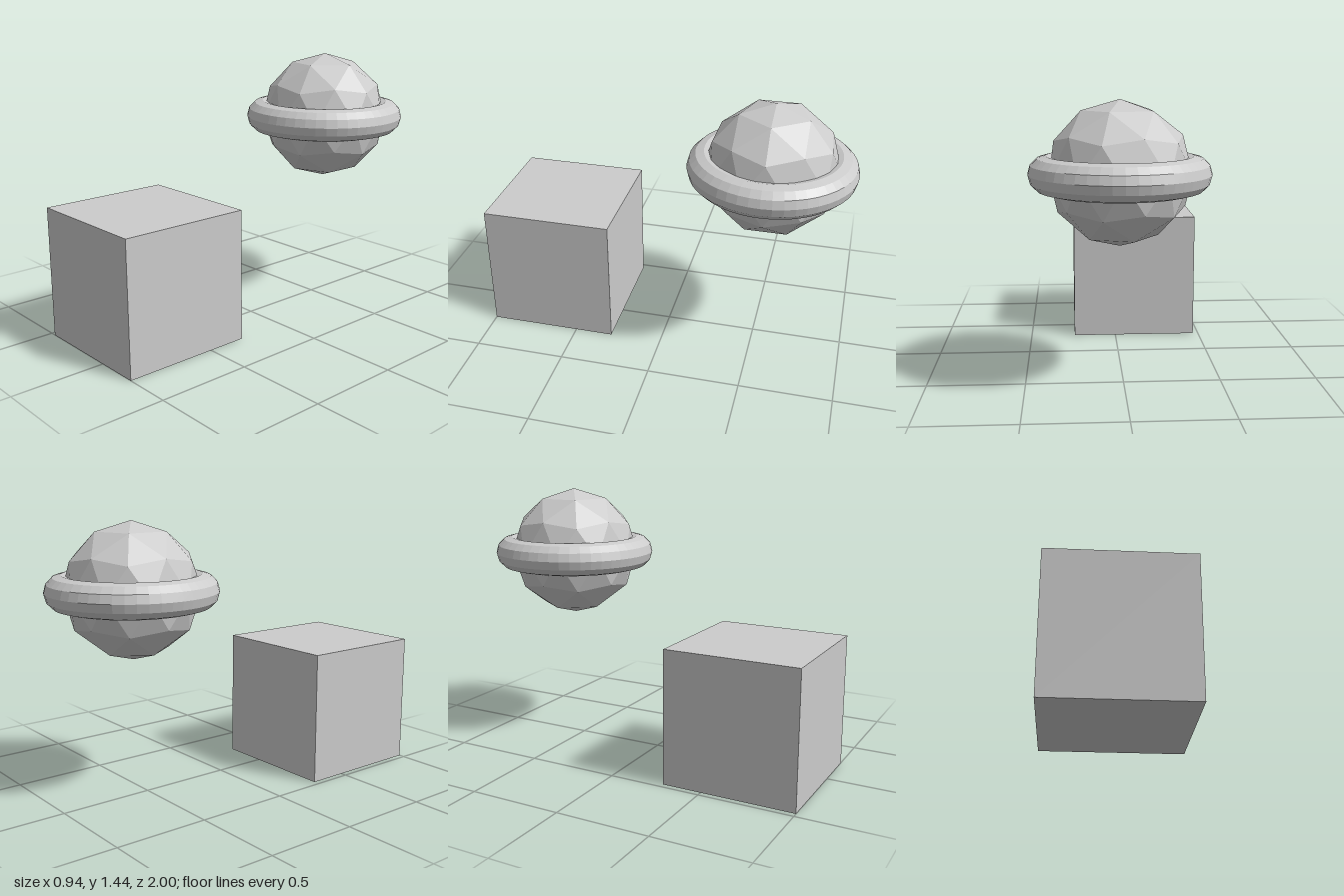
import * as THREE from 'three';

const UNIT = 0.3565; // half the cube's side, also the ball's radius

export function createModel() {
  const model = new THREE.Group();
  const material = new THREE.MeshStandardMaterial({ color: 0xcccccc, flatShading: true });

  const addPart = (name, geometry, parent, x = 0, y = 0, z = 0) => {
    const mesh = new THREE.Mesh(geometry, material);
    mesh.name = name;
    mesh.position.set(x, y, z);
    parent.add(mesh);
  };

  // Cube standing on the ground at the front
  addPart('cube', new THREE.BoxGeometry(2 * UNIT, 2 * UNIT, 2 * UNIT), model, -0.113, UNIT, 1 - UNIT);

  // Floating ringed ball at the back
  const ringedBall = new THREE.Group();
  ringedBall.name = 'ringedBall';
  ringedBall.position.set(0.022, 1.082, -1 + 1.25 * UNIT);
  model.add(ringedBall);

  // Faceted ball, turned so that one of its five-sided corners points straight up
  const ball = new THREE.IcosahedronGeometry(UNIT, 1);
  ball.rotateZ(-Math.atan(2 / (1 + Math.sqrt(5))));
  ball.computeVertexNormals();
  addPart('ball', ball, ringedBall);

  // Ring lying flat around the ball's equator
  const ring = new THREE.TorusGeometry(UNIT, UNIT / 4, 12, 48);
  ring.rotateX(Math.PI / 2);
  addPart('ring', ring, ringedBall);

  return model;
}
